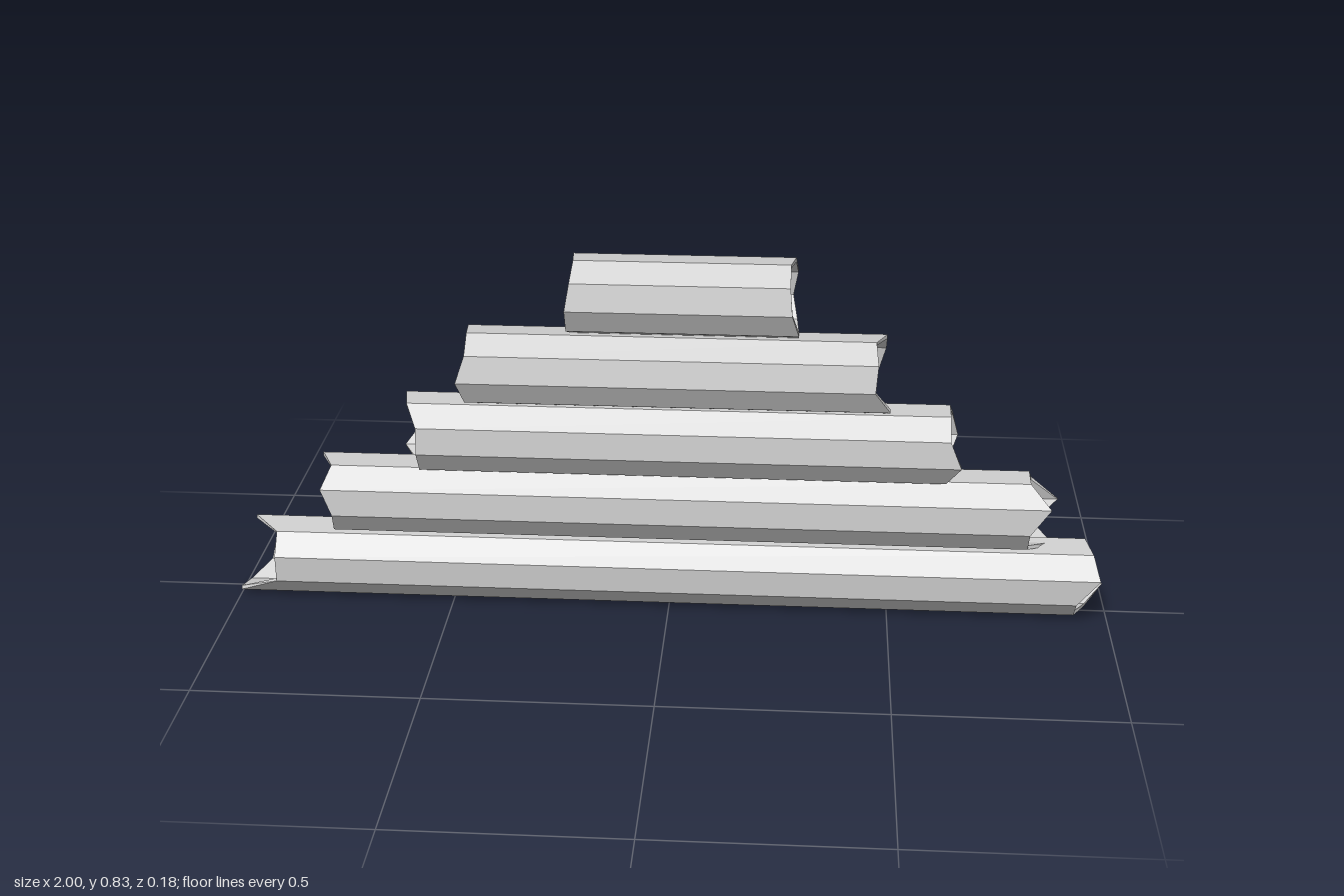
import * as THREE from 'three';

const SIDES = 9, OUTER = 0.09, INNER = 0.081;

// One entry per log, bottom to top: centre height, roll in degrees,
// and how far the bark reaches at each corner on the two splintered ends.
const LOGS = [
  { y: 0.0885, roll: -8,
    left: [-0.965, -0.905, -0.905, -0.905, -1.0, -0.99, -0.95, -0.94, -0.91],
    right: [0.945, 0.96, 0.975, 0.925, 0.925, 0.955, 1.0, 0.93, 0.92] },
  { y: 0.25, roll: -15,
    left: [-0.8, -0.77, -0.79, -0.765, -0.77, -0.76, -0.77, -0.78, -0.79],
    right: [0.81, 0.81, 0.855, 0.81, 0.81, 0.87, 0.83, 0.885, 0.82] },
  { y: 0.406, roll: -16,
    left: [-0.6, -0.59, -0.565, -0.565, -0.565, -0.575, -0.615, -0.575, -0.58],
    right: [0.625, 0.625, 0.625, 0.65, 0.62, 0.62, 0.63, 0.65, 0.635] },
  { y: 0.57, roll: -23,
    left: [-0.455, -0.45, -0.45, -0.47, -0.455, -0.455, -0.46, -0.465, -0.45],
    right: [0.48, 0.455, 0.46, 0.455, 0.49, 0.48, 0.46, 0.465, 0.48] },
  { y: 0.744, roll: -23,
    left: [-0.215, -0.21, -0.215, -0.225, -0.225, -0.22, -0.215, -0.22, -0.215],
    right: [0.275, 0.265, 0.265, 0.27, 0.285, 0.285, 0.28, 0.27, 0.28] },
];

// Skins a list of nine-sided rings; each ring has a radius and an x per corner.
function loft(rings, roll) {
  const pos = [];
  const corner = ({ r, xs }, k) => {
    const a = THREE.MathUtils.degToRad(roll) + (k / SIDES) * Math.PI * 2;
    return [xs[k % SIDES], r * Math.cos(a), r * Math.sin(a)];
  };
  for (let j = 0; j < rings.length - 1; j++) {
    const [p, q] = [rings[j], rings[j + 1]];
    for (let k = 0; k < SIDES; k++) {
      const a = corner(p, k), b = corner(p, k + 1), c = corner(q, k + 1), d = corner(q, k);
      if (p.r > 0) pos.push(...a, ...b, ...d);
      if (q.r > 0) pos.push(...b, ...c, ...d);
    }
  }
  const geo = new THREE.BufferGeometry();
  geo.setAttribute('position', new THREE.Float32BufferAttribute(pos, 3));
  geo.computeVertexNormals();
  return geo;
}

export function createModel() {
  const model = new THREE.Group();
  model.name = 'logPile';
  const material = new THREE.MeshStandardMaterial({ color: 0xcccccc, flatShading: true });

  LOGS.forEach(({ y, roll, left, right }, i) => {
    const log = new THREE.Group();
    log.name = `log${i + 1}`;
    log.position.y = y;
    const add = (name, rings) => {
      const mesh = new THREE.Mesh(loft(rings, roll), material);
      mesh.name = name;
      log.add(mesh);
    };
    const flat = (x) => Array(SIDES).fill(x);
    const capL = flat(Math.max(...left) + 0.006);
    const capR = flat(Math.min(...right) - 0.006);

    // Bark shell: inner wall, splintered rim, outer wall, rim, inner wall
    add('bark', [
      { r: INNER, xs: capL }, { r: INNER, xs: left }, { r: OUTER, xs: left },
      { r: OUTER, xs: right }, { r: INNER, xs: right }, { r: INNER, xs: capR },
    ]);
    // Recessed cut faces
    add('leftCutFace', [{ r: 0, xs: capL }, { r: INNER, xs: capL }]);
    add('rightCutFace', [{ r: INNER, xs: capR }, { r: 0, xs: capR }]);
    model.add(log);
  });
  return model;
}
